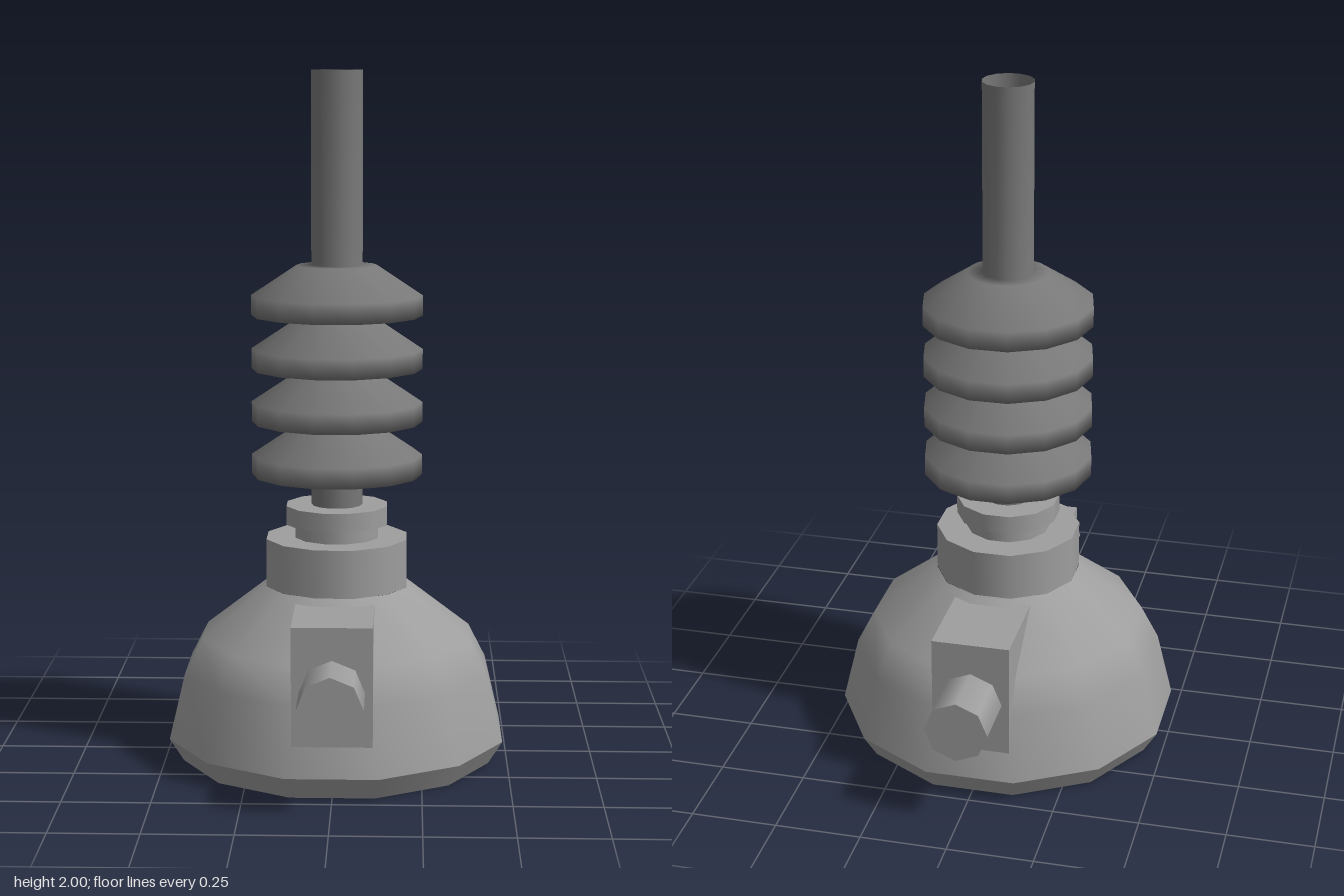
import * as THREE from 'three';
import { mergeGeometries } from 'three/addons/utils/BufferGeometryUtils.js';

const bodyGrey = new THREE.MeshStandardMaterial({ color: 0x9e9e9e });
const darkGrey = new THREE.MeshStandardMaterial({ color: 0x787878, side: THREE.DoubleSide });
const lightGrey = new THREE.MeshStandardMaterial({ color: 0xcccccc });

function addMesh(parent, name, geometry, material = bodyGrey) {
  const mesh = new THREE.Mesh(geometry, material);
  mesh.name = name;
  parent.add(mesh);
  return mesh;
}

// Turned part: each section is smooth, with a crease between sections.
function turned(sides, phase, scale, sections) {
  return mergeGeometries(sections.map((points) => new THREE.LatheGeometry(
    points.map(([r, y]) => new THREE.Vector2(r * scale, y)), sides, phase)));
}

// Twelve-sided parts have flats on the axes, with radii given to the flats.
const dodecagonal = (sections) =>
  turned(12, Math.PI / 12, 1 / Math.cos(Math.PI / 12), sections);
// Fourteen-sided parts have corners on the x axis.
const fourteenSided = (sections) => turned(14, Math.PI / 2, 1, sections);

export function createModel() {
  const model = new THREE.Group();
  model.name = 'bellowsDevice';

  // Domed base with a bevelled rim and a recessed underside
  addMesh(model, 'domedBase', dodecagonal([
    [[0.39, 0.067], [0.445, 0]],
    [[0.445, 0], [0.485, 0.067]],
    [[0.485, 0.067], [0.44, 0.26], [0.39, 0.36], [0.205, 0.51]],
  ]));
  addMesh(model, 'underside', dodecagonal([[[0, 0.067], [0.39, 0.067]]]), lightGrey);

  // Collar, neck and flange stacked on the dome
  addMesh(model, 'collar', dodecagonal([
    [[0.204, 0.51], [0.204, 0.65]],
    [[0.204, 0.65], [0, 0.65]],
  ]));
  addMesh(model, 'neck', dodecagonal([[[0.12, 0.65], [0.12, 0.69]]]));
  addMesh(model, 'flange', dodecagonal([
    [[0.1, 0.69], [0.146, 0.69]],
    [[0.146, 0.69], [0.146, 0.745]],
    [[0.146, 0.745], [0, 0.745]],
  ]));

  // Four bellows rings running smoothly into the open upper tube
  const profile = [];
  for (let i = 0; i < 4; i++) {
    const y = 0.835 + i * 0.155;
    profile.push([0.115, y], [0.248, y], [0.248, y + 0.058], [0.117, y + 0.145]);
  }
  profile.push([0.074, 1.447], [0.074, 2]);
  addMesh(model, 'bellowsAndUpperTube', fourteenSided([profile]), darkGrey);

  // Lower tube and the socket it enters under the lowest ring
  addMesh(model, 'lowerTube', fourteenSided([[[0.074, 0.745], [0.074, 1.447]]]), darkGrey);
  addMesh(model, 'bellowsSocket', fourteenSided([
    [[0.074, 0.9], [0.115, 0.9]],
    [[0.115, 0.9], [0.115, 0.835]],
  ]), darkGrey);

  // Mounting blocks and pegs, mirrored front and back
  for (const side of [1, -1]) {
    const mount = new THREE.Group();
    mount.name = side > 0 ? 'frontMount' : 'backMount';
    addMesh(mount, 'block', new THREE.BoxGeometry(0.226, 0.342, 0.365))
      .position.set(0, 0.321, 0.2825);
    const peg = new THREE.CylinderGeometry(0.0915, 0.0915, 0.235, 8).rotateX(Math.PI / 2);
    addMesh(mount, 'peg', peg).position.set(0, 0.308, 0.5165);
    mount.rotation.y = side > 0 ? 0 : Math.PI;
    model.add(mount);
  }

  return model;
}
